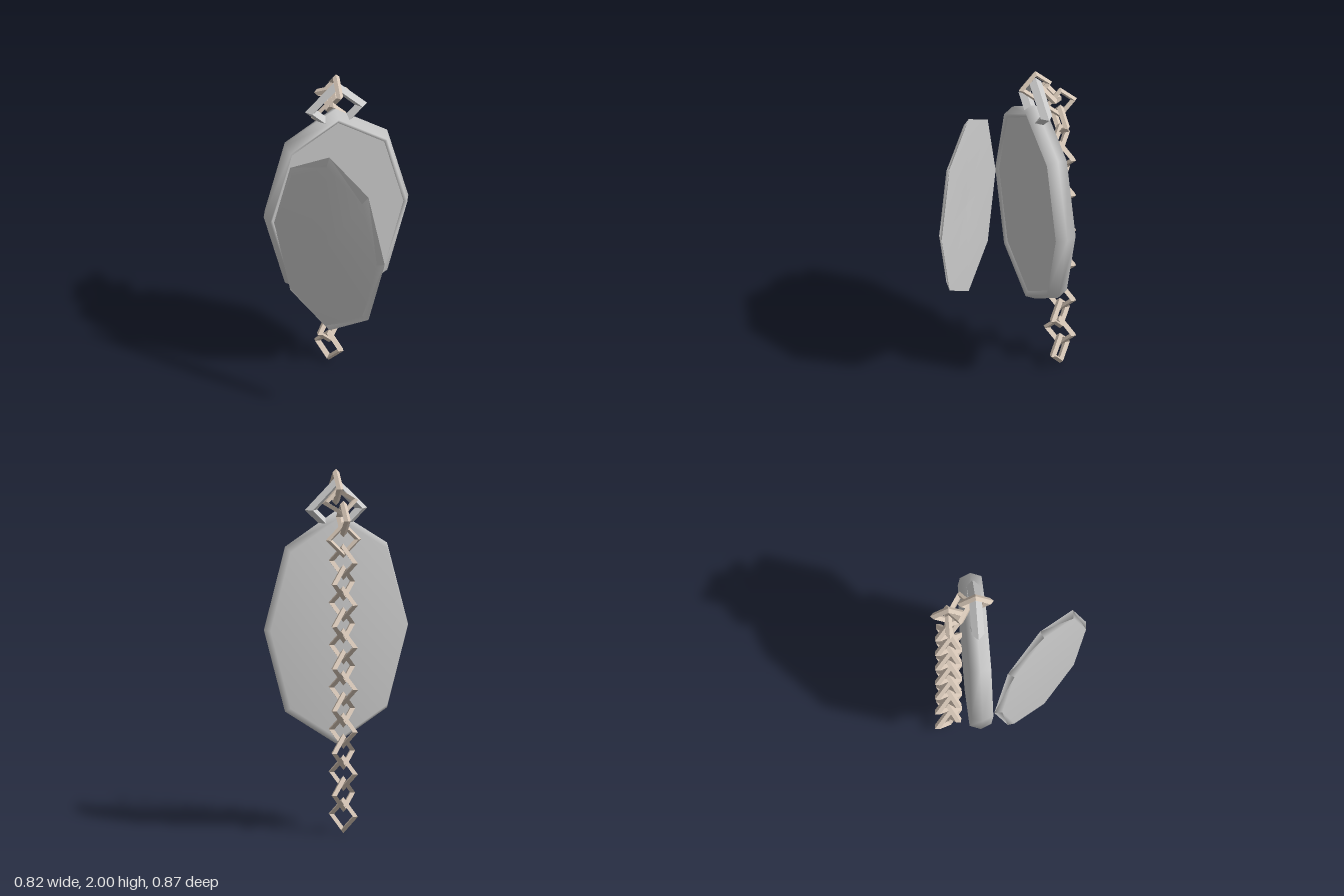
import * as THREE from 'three';

const SIDES = 8;
const ASPECT = 1.574; // height to width of the oval octagon

const metal = new THREE.MeshStandardMaterial({ color: 0xcccccc, side: THREE.DoubleSide });
const metalFlat = new THREE.MeshStandardMaterial({ color: 0xcccccc, flatShading: true });
const chainMetal = new THREE.MeshStandardMaterial({ color: 0xd8c8b8, flatShading: true });

// Octagonal oval turned from a profile of [radius, depth], facing +z
function oval(name, profile, material = metal) {
  const geo = new THREE.LatheGeometry(profile.map(([r, d]) => new THREE.Vector2(r, d)), SIDES);
  geo.rotateX(Math.PI / 2);
  geo.scale(1, ASPECT, 1);
  const mesh = new THREE.Mesh(geo, material);
  mesh.name = name;
  return mesh;
}

// Diamond-shaped ring with a square section
function diamondRing(name, radius, tube, material) {
  const mesh = new THREE.Mesh(new THREE.TorusGeometry(radius, tube, 4, 4), material);
  mesh.name = name;
  return mesh;
}

export function createModel() {
  const model = new THREE.Group();
  model.name = 'locket';

  // Case: shallow tray with a bevelled edge and a recessed panel
  const locketCase = new THREE.Group();
  locketCase.name = 'case';
  locketCase.position.set(0, 1.125, -0.185);
  locketCase.add(
    oval('caseShell', [[0, -0.06], [0.388, -0.06], [0.41, 0], [0.388, 0.06], [0.37, 0.045]]),
    oval('casePanel', [[0.37, 0.045], [0, 0.045]]),
  );
  model.add(locketCase);

  // Lid swung open on the case's side edge, slightly hollow inside
  const lid = oval('lid', [[0, 0.012], [0.365, 0], [0.333, 0.03], [0, 0.03]]);
  lid.position.set(-0.13, 1.125, 0.1575);
  lid.rotation.y = -0.857;
  model.add(lid);

  // Bail on top of the case
  const bail = diamondRing('bail', 0.142, 0.035, metalFlat);
  bail.position.set(0, 1.78, -0.185);
  model.add(bail);

  // Chain: hanging links alternate by a quarter turn
  const chain = new THREE.Group();
  chain.name = 'chain';
  const addLink = (y, z, rx, ry) => {
    const link = diamondRing('chainLink', 0.082, 0.019, chainMetal);
    link.position.set(0, y, z);
    link.rotation.set(rx, ry, 0);
    chain.add(link);
  };
  for (let i = 0; i < 13; i++) {
    addLink(0.106 + i * 0.1168, -0.333, 0, -0.927 + (i % 2) * Math.PI / 2);
  }
  // Upper links bend forward into the bail
  addLink(1.63, -0.335, 0, 0);
  addLink(1.745, -0.335, 0, Math.PI / 2);
  addLink(1.83, -0.27, Math.PI / 4, -0.1);
  addLink(1.9, -0.185, 0, Math.PI / 2);
  model.add(chain);

  return model;
}
